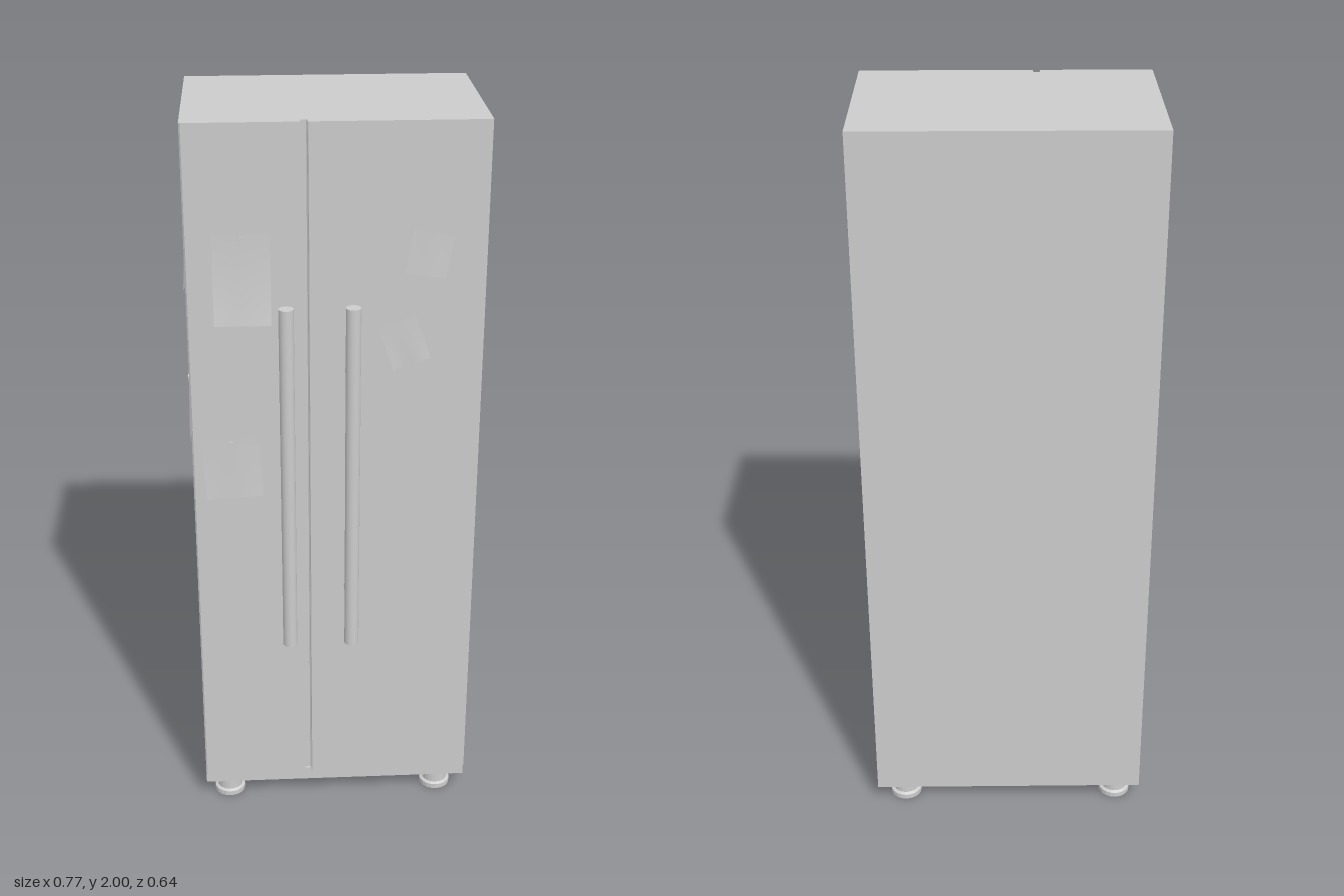
import * as THREE from 'three';

const metal = new THREE.MeshStandardMaterial({ color: 0xcccccc });
const sheet = new THREE.MeshStandardMaterial({ color: 0xcccccc, side: THREE.DoubleSide });

const LEFT = 0.385, RIGHT = -0.37, BACK = -0.32, FRONT = 0.19;

function add(parent, name, geometry, x = 0, y = 0, z = 0, material = metal) {
  const mesh = new THREE.Mesh(geometry, material);
  mesh.name = name;
  mesh.position.set(x, y, z);
  parent.add(mesh);
  return mesh;
}

// Plan outline of cabinet and doors, with the groove between the doors
function cabinetGeometry(bottom, top) {
  const c = 0.004;
  const plan = [
    [RIGHT, BACK], [RIGHT, FRONT - c], [RIGHT + c, FRONT],
    [-0.082, FRONT], [-0.08, FRONT - 0.002], [-0.08, 0.173], [-0.077, 0.17],
    [-0.065, 0.17], [-0.062, 0.173], [-0.062, FRONT - 0.002], [-0.06, FRONT],
    [LEFT - c, FRONT], [LEFT, FRONT - c], [LEFT, BACK],
  ];
  const shape = new THREE.Shape(plan.map(([x, z]) => new THREE.Vector2(x, -z)));
  const geometry = new THREE.ExtrudeGeometry(shape, { depth: top - bottom, bevelEnabled: false });
  return geometry.rotateX(-Math.PI / 2).translate(0, bottom, 0);
}

// Thin note pinned at its top, its lower edge lifting away from the door
function addNote(parent, x, y, w, h, turn, curl, magnet) {
  const note = new THREE.Group();
  note.name = 'note';
  note.position.set(x, y, 0.002);
  note.rotation.z = turn;
  const paper = new THREE.PlaneGeometry(w, h, 6, 8);
  const p = paper.attributes.position;
  for (let i = 0; i < p.count; i++) {
    const down = 0.5 - p.getY(i) / h;
    const ripple = 0.0015 * (1 + Math.sin(p.getX(i) / w * 7)) * down;
    p.setZ(i, curl * down * down + ripple);
  }
  paper.computeVertexNormals();
  add(note, 'paper', paper, 0, 0, 0, sheet);
  if (magnet) {
    const disc = new THREE.CylinderGeometry(0.008, 0.008, 0.005, 12).rotateX(Math.PI / 2);
    add(note, 'magnet', disc, 0, h / 2 - 0.015, 0.001);
  }
  parent.add(note);
}

export function createModel() {
  const model = new THREE.Group();
  model.name = 'refrigerator';

  // Body and recessed plinth
  add(model, 'cabinetWithDoors', cabinetGeometry(0.09, 2));
  add(model, 'plinth', new THREE.BoxGeometry(LEFT - RIGHT, 0.04, 0.495),
    (LEFT + RIGHT) / 2, 0.07, BACK + 0.2475);

  // Stepped feet
  const footProfile = [[0, 0], [0.044, 0], [0.044, 0.014], [0.036, 0.018], [0.036, 0.052]]
    .map(([r, y]) => new THREE.Vector2(r, y));
  for (const x of [-0.302, 0.306]) {
    for (const z of [-0.27, 0.134]) {
      const foot = new THREE.LatheGeometry(footProfile, 20).toNonIndexed();
      foot.computeVertexNormals();
      add(model, 'foot', foot, x, 0, z);
    }
  }

  // Bar handles on two posts
  for (const x of [-0.122, 0.043]) {
    const handle = new THREE.Group();
    handle.name = 'handle';
    handle.position.x = x;
    add(handle, 'bar', new THREE.CylinderGeometry(0.019, 0.019, 0.965, 24), 0, 1.085, 0.298);
    for (const y of [0.718, 1.358]) {
      const post = new THREE.CylinderGeometry(0.014, 0.014, 0.112, 16).rotateX(Math.PI / 2);
      add(handle, 'post', post, 0, y, 0.24);
    }
    model.add(handle);
  }

  // Notes: x, y, width, height, turn, curl, magnet
  const frontNotes = new THREE.Group();
  frontNotes.name = 'frontNotes';
  frontNotes.position.z = FRONT;
  addNote(frontNotes, -0.229, 1.607, 0.145, 0.235, 0, 0.014, true);
  addNote(frontNotes, -0.265, 1.085, 0.15, 0.17, 0.06, 0.003, true);
  addNote(frontNotes, 0.24, 1.665, 0.104, 0.112, -0.17, 0.001, false);
  addNote(frontNotes, 0.182, 1.43, 0.1, 0.12, 0.34, 0.001, false);
  model.add(frontNotes);

  const sideNotes = new THREE.Group();
  sideNotes.name = 'sideNotes';
  sideNotes.position.x = RIGHT;
  sideNotes.rotation.y = -Math.PI / 2;
  addNote(sideNotes, -0.01, 1.636, 0.15, 0.235, 0.2, 0.007, true);
  addNote(sideNotes, -0.178, 1.39, 0.155, 0.23, 0.17, 0.011, true);
  addNote(sideNotes, -0.04, 1.268, 0.15, 0.215, -0.18, 0.009, true);
  addNote(sideNotes, 0.112, 1.235, 0.12, 0.18, 0.16, 0.002, true);
  model.add(sideNotes);

  return model;
}
